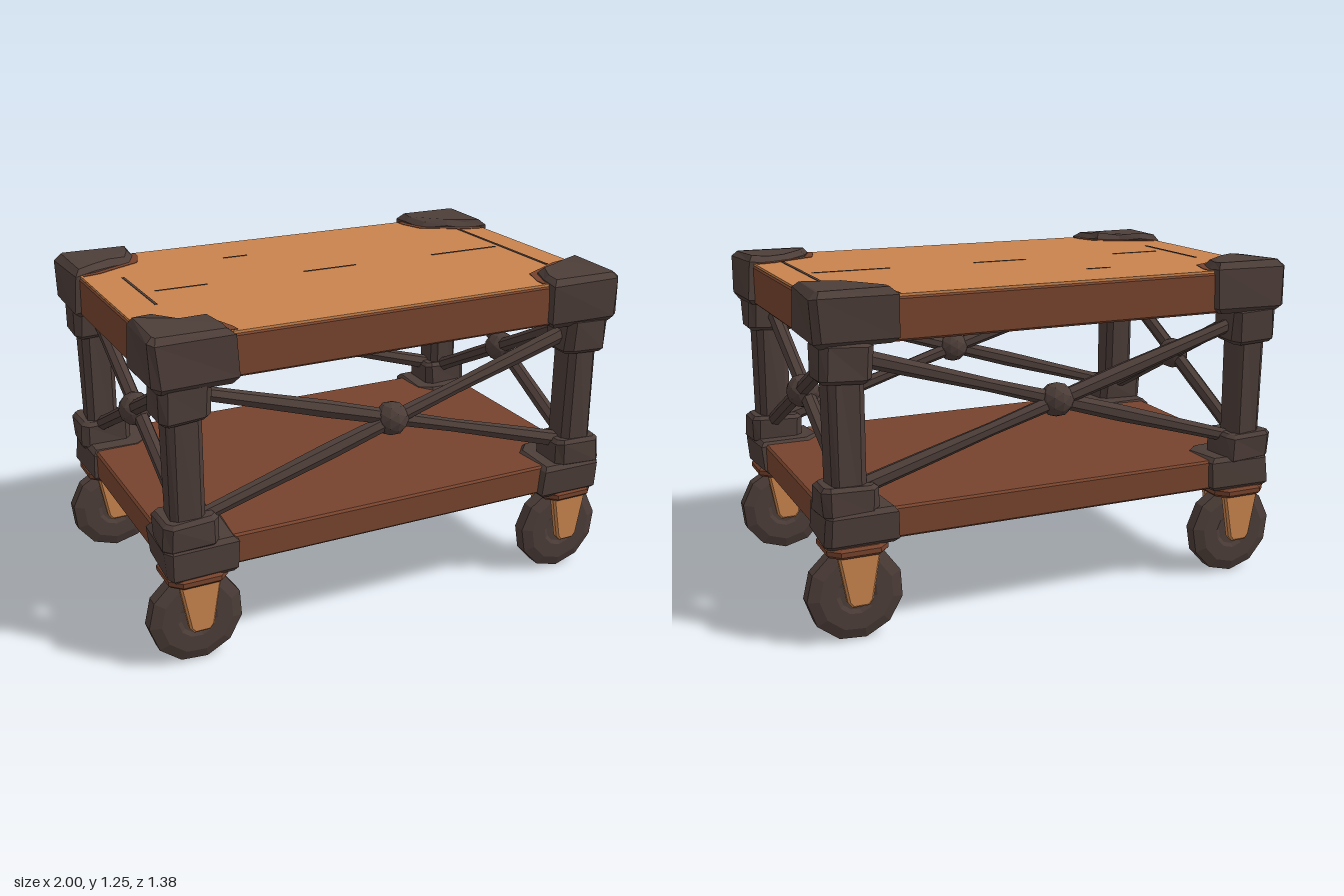
import * as THREE from 'three';

const mat = (name, color) => {
  const m = new THREE.MeshStandardMaterial({ color });
  m.name = name;
  m.flatShading = true;
  return m;
};

export function createModel() {
  const metal = mat('dark iron', 0x4c3d38);
  const wood = mat('brown wood', 0x77432d);
  const worn = mat('light wood', 0xc8834d);

  const root = new THREE.Group();
  root.name = 'cart';
  const cart = new THREE.Group();
  cart.name = 'turnedCart';
  cart.rotation.y = -0.105;
  root.add(cart);

  const add = (parent, name, geometry, material) => {
    const mesh = new THREE.Mesh(geometry, material);
    mesh.name = name;
    parent.add(mesh);
    return mesh;
  };

  // Small position-based dents for a hand-carved look
  const dent = (geometry, amount) => {
    const p = geometry.attributes.position;
    for (let i = 0; i < p.count; i++) {
      const x = p.getX(i), y = p.getY(i), z = p.getZ(i);
      p.setXYZ(i,
        x + amount * Math.sin(23 * y + 31 * z + 5 * x),
        y + amount * Math.sin(29 * x + 19 * z),
        z + amount * Math.sin(27 * x + 17 * y + 3 * z));
    }
    geometry.computeVertexNormals();
    return geometry;
  };

  // Upright prism from a plan outline of [x, z] points, with a bevelled rim
  const prism = (points, y0, y1, bevel) => {
    const shape = new THREE.Shape(points.map(([x, z]) => new THREE.Vector2(x, -z)));
    const g = new THREE.ExtrudeGeometry(shape, {
      depth: y1 - y0 - 2 * bevel, bevelEnabled: bevel > 0, bevelSize: bevel,
      bevelThickness: bevel, bevelOffset: -bevel, bevelSegments: 1,
    });
    return g.rotateX(-Math.PI / 2).translate(0, y0 + bevel, 0);
  };

  // Rectangle outline with cut corners
  const cutRect = (cx, cz, hx, hz, c) => [
    [hx - c, hz], [hx, hz - c], [hx, c - hz], [hx - c, -hz],
    [c - hx, -hz], [-hx, c - hz], [-hx, hz - c], [c - hx, hz],
  ].map(([x, z]) => [cx + x, cz + z]);

  // Boards
  add(cart, 'tableTop', prism(cutRect(0, 0, 0.89, 0.556, 0.03), 1.06, 1.212, 0.008), wood);
  add(cart, 'tableTopSurface', prism(cutRect(0, 0, 0.886, 0.552, 0.03), 1.211, 1.22, 0), worn);
  add(cart, 'lowerShelf', prism(cutRect(0, 0, 0.87, 0.555, 0.03), 0.37, 0.485, 0.008), wood);

  // Cracks in the top: x, z, length along x, length along z
  [[-0.75, -0.03, 0.01, 0.38], [0.775, -0.01, 0.012, 0.66], [0.6, 0.0, 0.3, 0.007],
    [0, 0, 0.22, 0.006], [-0.26, -0.32, 0.1, 0.006], [-0.6, 0, 0.2, 0.005]]
    .forEach(([x, z, lx, lz]) => {
      const crack = add(cart, 'crack', new THREE.BoxGeometry(lx, 0.004, lz), metal);
      crack.position.set(x, 1.22, z);
    });

  // Corner caps, legs and casters
  for (const sx of [-1, 1]) for (const sz of [-1, 1]) {
    const corner = new THREE.Group();
    corner.name = `${sz > 0 ? 'front' : 'back'}${sx > 0 ? 'Left' : 'Right'}Corner`;
    cart.add(corner);
    const plan = (pts) => pts.map(([x, z]) => [x * sx, z * sz]);

    const capPlan = [[0.895, 0.595], [0.62, 0.59], [0.622, 0.51], [0.655, 0.42],
      [0.74, 0.375], [0.82, 0.33], [0.91, 0.315], [0.918, 0.57]];
    add(corner, 'upperCap', dent(prism(plan(capPlan), 1.055, 1.245, 0.022), 0.006), metal);
    const rubbed = [[0.6, 0.54], [0.603, 0.5], [0.635, 0.405],
      [0.73, 0.355], [0.81, 0.31], [0.878, 0.295], [0.878, 0.54]];
    add(corner, 'rubbedEdge', prism(plan(rubbed), 1.215, 1.222, 0), wood);
    const footPlan = [[0.875, 0.59], [0.635, 0.585], [0.63, 0.4],
      [0.69, 0.345], [0.885, 0.34], [0.895, 0.56]];
    add(corner, 'lowerCap', dent(prism(plan(footPlan), 0.362, 0.492, 0.016), 0.005), metal);

    const lx = 0.8 * sx, lz = 0.5 * sz;
    add(corner, 'leg', dent(prism(cutRect(lx, lz, 0.062, 0.062, 0.022), 0.46, 1.08, 0), 0.004), metal);
    add(corner, 'upperCollar', dent(prism(cutRect(lx, lz, 0.092, 0.084, 0.025), 0.935, 1.075, 0.014), 0.004), metal);
    add(corner, 'lowerCollar', dent(prism(cutRect(lx, lz, 0.1, 0.084, 0.025), 0.47, 0.582, 0.014), 0.004), metal);

    const caster = new THREE.Group();
    caster.name = 'caster';
    caster.position.set(0.777 * sx, 0, 0.486 * sz);
    corner.add(caster);
    add(caster, 'casterPlate', prism(cutRect(0, 0, 0.11, 0.105, 0.04), 0.333, 0.37, 0.01), wood);

    // Ten-sided wheel with rounded shoulders and sunken hub
    const wheelProfile = [[0, -0.03], [0.06, -0.032], [0.075, -0.04], [0.135, -0.04], [0.176, -0.024],
      [0.176, 0.024], [0.135, 0.04], [0.075, 0.04], [0.06, 0.032], [0, 0.03]]
      .map(([r, y]) => new THREE.Vector2(r, y));
    const wheel = add(caster, 'wheel',
      new THREE.LatheGeometry(wheelProfile, 11).rotateX(Math.PI / 2), metal);
    wheel.position.y = 0.175;
    wheel.rotation.z = sx * 0.2 + sz * 0.4;

    const forkShape = new THREE.Shape([[-0.078, 0.345], [-0.046, 0.165], [-0.03, 0.145],
      [0.03, 0.145], [0.046, 0.165], [0.078, 0.345]].map(([x, y]) => new THREE.Vector2(x, y)));
    for (const side of [-1, 1]) {
      const fork = add(caster, 'forkArm', new THREE.ExtrudeGeometry(forkShape, {
        depth: 0.018, bevelSize: 0.008, bevelThickness: 0.008, bevelOffset: -0.008, bevelSegments: 1,
      }), worn);
      fork.position.z = side * 0.07 - 0.009;
    }
    const axle = add(caster, 'axle', new THREE.CylinderGeometry(0.022, 0.022, 0.15, 8), metal);
    axle.rotation.x = Math.PI / 2;
    axle.position.y = 0.18;
  }

  // Crossed braces with a knot in the middle, on all four sides
  const rod = (parent, a, b) => {
    const d = b.clone().sub(a);
    const g = new THREE.CylinderGeometry(0.032, 0.032, d.length(), 7, 6);
    const p = g.attributes.position;
    for (let i = 0; i < p.count; i++) {
      const k = 0.9 + 0.12 * Math.sin(p.getY(i) * 17);
      p.setX(i, p.getX(i) * k);
      p.setZ(i, p.getZ(i) * k);
    }
    const m = add(parent, 'brace', g, metal);
    m.position.copy(a).add(b).multiplyScalar(0.5);
    m.quaternion.setFromUnitVectors(new THREE.Vector3(0, 1, 0), d.normalize());
  };
  const addCross = (name, half, rise, x, z, turn) => {
    const g = new THREE.Group();
    g.name = name;
    g.position.set(x, 0.785, z);
    g.rotation.y = turn;
    cart.add(g);
    for (const s of [-1, 1]) {
      rod(g, new THREE.Vector3(-half, -rise * s, 0.008 * s), new THREE.Vector3(half, rise * s, 0.008 * s));
    }
    add(g, 'knot', new THREE.IcosahedronGeometry(0.064, 1), metal);
  };
  for (const s of [-1, 1]) {
    addCross(s > 0 ? 'frontCross' : 'backCross', 0.78, 0.235, 0, 0.5 * s, 0);
    addCross(s > 0 ? 'leftCross' : 'rightCross', 0.48, 0.24, 0.8 * s, 0, Math.PI / 2);
  }
  return root;
}
